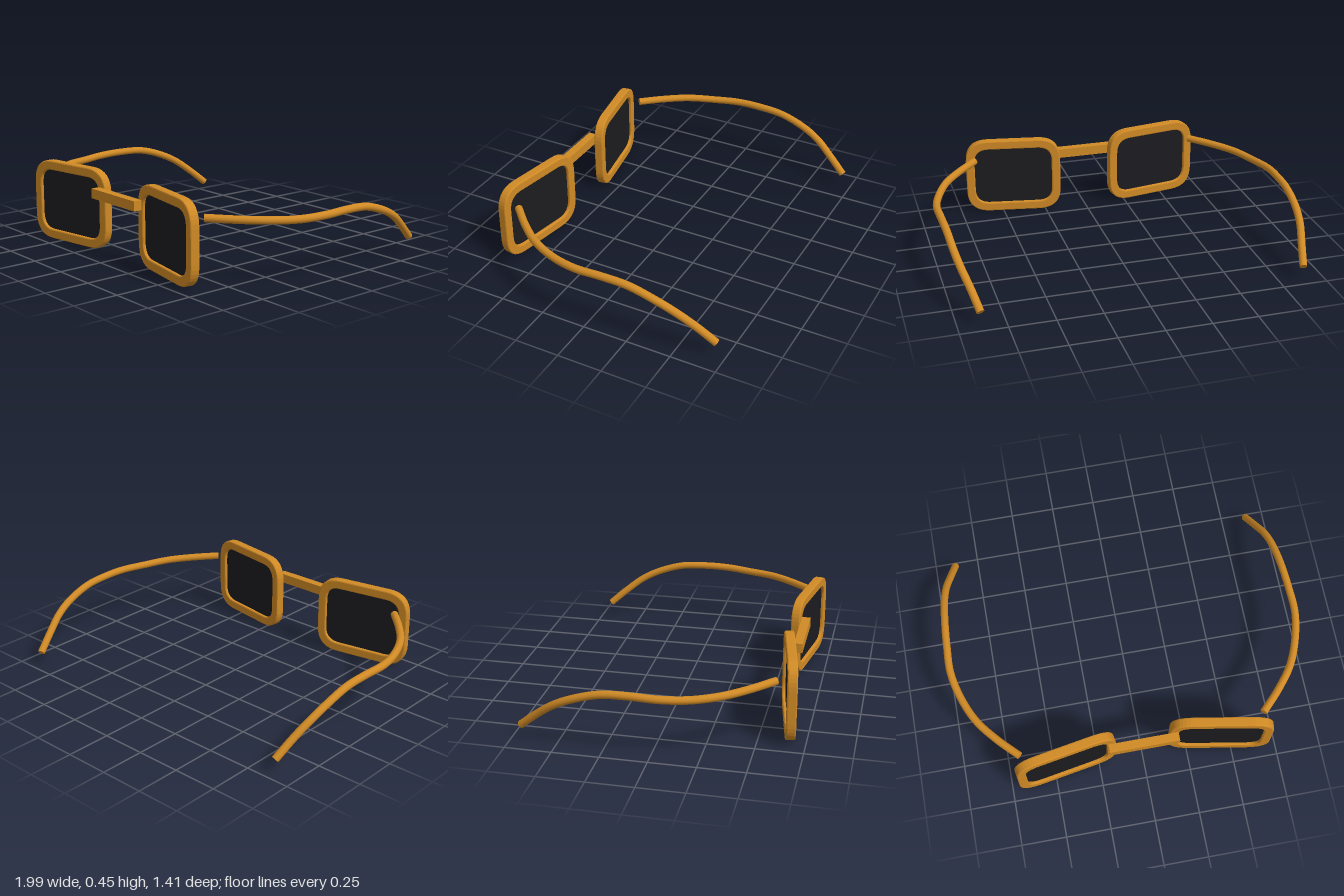
import * as THREE from 'three';

const frameMat = new THREE.MeshStandardMaterial({ color: 0xd08a25 });
const lensMat = new THREE.MeshStandardMaterial({ color: 0x1c1c20 });

// Rectangle with soft quadratic corners, centred on the origin
function softRect(w, h, r, Type = THREE.Shape) {
  const x = w / 2, y = h / 2, s = new Type();
  s.moveTo(-x + r, -y);
  s.lineTo(x - r, -y);
  s.quadraticCurveTo(x, -y, x, -y + r);
  s.lineTo(x, y - r);
  s.quadraticCurveTo(x, y, x - r, y);
  s.lineTo(-x + r, y);
  s.quadraticCurveTo(-x, y, -x, y - r);
  s.lineTo(-x, -y + r);
  s.quadraticCurveTo(-x, -y, -x + r, -y);
  return s;
}

function addMesh(parent, name, geometry, material) {
  const mesh = new THREE.Mesh(geometry, material);
  mesh.name = name;
  parent.add(mesh);
  return mesh;
}

// Rim with its recessed dark lens, angled so the outer end sits forward
function makeEyepiece(side, label) {
  const group = new THREE.Group();
  group.name = label + 'Eyepiece';
  const depth = 0.052, bevel = 0.007;
  const outline = softRect(0.565, 0.452, 0.135);
  outline.holes.push(softRect(0.462, 0.346, 0.085, THREE.Path));
  const rim = new THREE.ExtrudeGeometry(outline, {
    depth: depth - 2 * bevel, curveSegments: 10,
    bevelThickness: bevel, bevelSize: bevel, bevelOffset: -bevel, bevelSegments: 2,
  });
  rim.translate(0, 0, bevel - depth / 2);
  addMesh(group, label + 'Rim', rim, frameMat);

  const lens = new THREE.ExtrudeGeometry(softRect(0.47, 0.354, 0.087), {
    depth: 0.018, bevelEnabled: false, curveSegments: 10,
  });
  lens.translate(0, 0, -0.009);
  addMesh(group, label + 'Lens', lens, lensMat);

  group.position.set(side * 0.43, 0.228, 0.63);
  group.rotation.y = -side * THREE.MathUtils.degToRad(9.8);
  return group;
}

// Bowed temple arm, a round tube with flat ends
const armPoints = [
  [0.67, 0.355, 0.59], [0.78, 0.349, 0.475], [0.875, 0.343, 0.35], [0.94, 0.337, 0.2],
  [0.974, 0.341, 0.05], [0.973, 0.344, -0.1], [0.966, 0.334, -0.25], [0.955, 0.288, -0.4],
  [0.938, 0.238, -0.5], [0.908, 0.163, -0.6], [0.88, 0.08, -0.697],
];

function makeArm(side, label) {
  const group = new THREE.Group();
  group.name = label + 'Arm';
  const radius = 0.021;
  const curve = new THREE.CatmullRomCurve3(
    armPoints.map(([x, y, z]) => new THREE.Vector3(side * x, y, z)));
  addMesh(group, label + 'Temple', new THREE.TubeGeometry(curve, 60, radius, 16), frameMat);
  for (const [t, dir, end] of [[0, -1, 'Front'], [1, 1, 'Tip']]) {
    const cap = addMesh(group, label + end + 'Cap', new THREE.CircleGeometry(radius, 16), frameMat);
    cap.position.copy(curve.getPoint(t));
    cap.quaternion.setFromUnitVectors(
      new THREE.Vector3(0, 0, 1), curve.getTangent(t).multiplyScalar(dir));
  }
  return group;
}

export function createModel() {
  const model = new THREE.Group();
  model.name = 'glasses';
  for (const [side, label] of [[1, 'left'], [-1, 'right']]) {
    model.add(makeEyepiece(side, label), makeArm(side, label));
  }
  // Straight bar joining the two rims
  const bridge = addMesh(model, 'bridge', new THREE.BoxGeometry(0.385, 0.054, 0.048), frameMat);
  bridge.position.set(0, 0.333, 0.641);
  return model;
}
